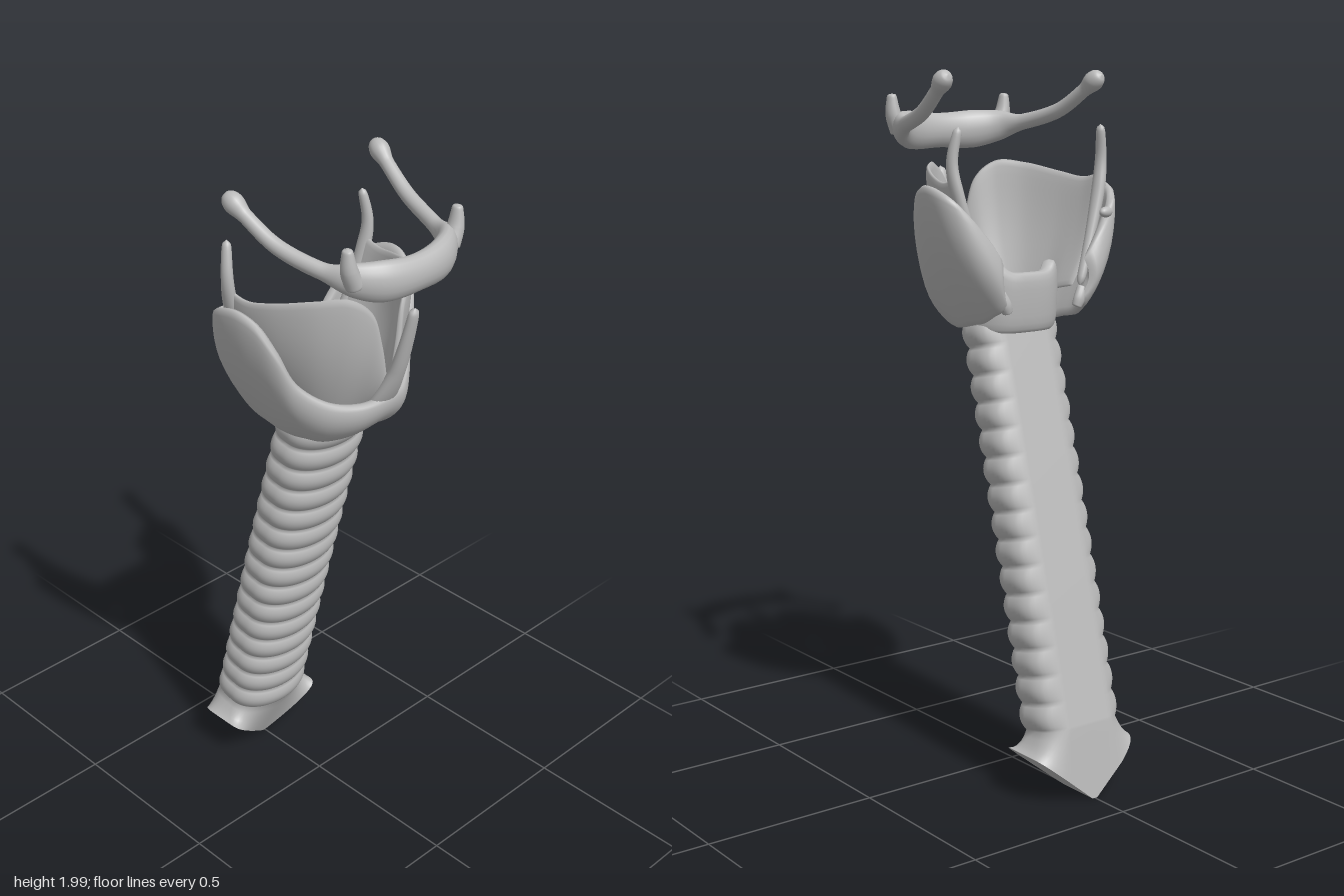
import * as THREE from 'three';

const cartilage = new THREE.MeshStandardMaterial({ color: 0xbababa, side: THREE.DoubleSide });
cartilage.name = 'cartilage grey';
const V = (x, y, z) => new THREE.Vector3(x, y, z);
const { sin, cos, abs, sign, PI, sqrt, pow } = Math;

// Skin a list of closed loops
function loft(name, rows) {
  const n = rows[0].length, idx = [];
  for (let i = 0; i < rows.length - 1; i++) {
    for (let j = 0; j < n; j++) {
      const k = (j + 1) % n, a = i * n + j, b = i * n + k;
      idx.push(a, a + n, b, b, a + n, b + n);
    }
  }
  const g = new THREE.BufferGeometry().setFromPoints(rows.flat());
  g.setIndex(idx);
  g.computeVertexNormals();
  const m = new THREE.Mesh(g, cartilage);
  m.name = name;
  return m;
}

// Left half of a list of points, mirrored into a full arch
const mirror = a => [...a.slice(1).reverse().map(([x, ...r]) => [-x, ...r]), ...a];

// Round-ended rod along points [x, y, z, radiusSide, radiusUp]
function rod(name, pts, ref, n = 44) {
  const path = new THREE.CatmullRomCurve3(pts.map(p => V(p[0], p[1], p[2])));
  const radii = new THREE.CatmullRomCurve3(pts.map(p => V(p[3], p[4], 0)));
  const rows = [];
  for (let i = 0; i <= n; i++) {
    const t = i / n, c = path.getPoint(t), r = radii.getPoint(t), T = path.getTangent(t);
    const side = T.clone().cross(ref).normalize(), up = side.clone().cross(T);
    const k = sqrt(Math.max(0, 1 - pow(abs(2 * t - 1), 22)));
    rows.push(Array.from({ length: 18 }, (_, j) => {
      const a = j / 18 * 2 * PI;
      return c.clone().addScaledVector(side, cos(a) * r.x * k).addScaledVector(up, sin(a) * r.y * k);
    }));
  }
  return loft(name, rows);
}

// Thick curved plate between a top and a bottom edge, with rounded rims
function plate(name, top, bottom, half, bulge, n = 120) {
  const ct = new THREE.CatmullRomCurve3(top.map(p => V(...p)));
  const cb = new THREE.CatmullRomCurve3(bottom.map(p => V(...p)));
  const f = (u, v) => {
    const p = ct.getPoint(u).lerp(cb.getPoint(u), v);
    return p.addScaledVector(V(p.x, 0, p.z).normalize(), bulge * sin(PI * v));
  };
  const rows = [], e = 0.01, cl = x => Math.min(1, Math.max(0, x));
  for (let i = 0; i <= n; i++) {
    const u = i / n, k = sqrt(Math.max(0, 1 - pow(abs(2 * u - 1), 40)));
    rows.push(Array.from({ length: 28 }, (_, j) => {
      const a = j / 28 * 2 * PI, v = 0.5 - 0.5 * cos(a), s = sin(a);
      const du = f(cl(u + e), v).sub(f(cl(u - e), v)), dv = f(u, cl(v + e)).sub(f(u, cl(v - e)));
      const nrm = du.cross(dv).normalize();
      return f(u, v).addScaledVector(nrm, half * k * sign(s) * sqrt(abs(s)));
    }));
  }
  return loft(name, rows);
}

// One horseshoe section of the windpipe: rounded front, flat back, rib fading out on the back
const SEG = 64;
function tubeLoop(y, zc, w, front, back, rib, pf, pb, shape) {
  return Array.from({ length: SEG }, (_, j) => {
    const a = (j + 0.5) / SEG * 2 * PI, c = cos(a);
    const r = rib * Math.min(1, Math.max(0, (c + 0.85) * 3));
    const z = c > 0 ? (front + r) * pow(c, pf) : -back * Math.min(1, pow(-c / 0.8, pb));
    const p = V((w + r) * sin(a), y - 0.2 * z, zc + z);
    return shape ? shape(p) : p;
  });
}

function trachea() {
  const g = new THREE.Group();
  g.name = 'windpipe';
  const rings = 15, steps = 10, N = rings * steps, outer = [], inner = [];
  for (let i = 0; i <= N; i++) {
    const t = i / N, y = 1.31 - 1.12 * t, zc = 0.025 - 0.285 * t - 0.004 * sin(PI * t);
    const rib = pow(abs(sin(PI * rings * t)), 0.8);
    outer.push(tubeLoop(y, zc, 0.129, 0.083 + 0.004 * t, 0.078 + 0.018 * t, 0.014 * rib, 0.9, 0.6));
    inner.push(tubeLoop(y, zc, 0.107, 0.074, 0.062, -0.006 * rib, 1, 0.6));
  }
  // Flared fork at the lower end, cut off in a V
  for (let k = 1; k <= 5; k++) {
    const s = k / 5;
    outer.push(tubeLoop(0.19, -0.26, 0.129 + 0.043 * s, 0.087, 0.096, 0, 0.9 - 0.55 * s, 0.6 - 0.3 * s, p => {
      const q = abs(p.x) / 0.172, d = p.z + 0.26;
      const end = V(p.x, -0.005 + 0.143 * q, -0.31 + 0.06 * q + d * (d > 0 ? 0.6 + 0.35 * q : 0.75 + 0.5 * q));
      return p.lerp(end, s);
    }));
  }
  g.add(loft('ringed wall', outer), loft('inner wall', inner));

  // V-shaped end faces, joining front and back of the last section
  const last = outer[outer.length - 1], pts = [], idx = [];
  for (let j = -SEG / 4; j < SEG / 4; j++) {
    pts.push(last[(j + SEG) % SEG].clone(), last[(SEG / 2 - 1 - j + SEG) % SEG].clone());
  }
  for (let i = 0; i < pts.length - 2; i += 2) idx.push(i, i + 1, i + 2, i + 2, i + 1, i + 3);
  const cap = new THREE.BufferGeometry().setFromPoints(pts);
  cap.setIndex(idx);
  cap.computeVertexNormals();
  const m = new THREE.Mesh(cap, cartilage);
  m.name = 'fork end faces';
  g.add(m);
  return g;
}

// Signet ring: low arch in front, tall broad plate with two peaks behind
function cricoid() {
  const rows = [], n = 80;
  for (let i = 0; i <= n; i++) {
    const a = i / n * 2 * PI, c = cos(a), s = sin(a), b = (1 - c) / 2;
    const top = 1.355 + 0.09 * b * b + 0.05 * Math.exp(-pow((abs(s) - 0.7) / 0.28, 2)) * (c < 0 ? 1 : 0.15);
    const bot = 1.285 - 0.01 * b, mid = (top + bot) / 2, h = (top - bot) / 2;
    rows.push(Array.from({ length: 20 }, (_, j) => {
      const q = j / 20 * 2 * PI, r = sign(cos(q)) * sqrt(abs(cos(q)));
      const k = (0.018 + 0.006 * b) * r, up = sign(sin(q)) * pow(abs(sin(q)), 0.7);
      const zr = c > 0 ? 0.115 : 0.084 + 0.006 * up;
      const px = c > 0 ? 0.85 : 0.85 - 0.2 * b;
      return V((0.12 + k) * sign(s) * pow(abs(s), px), mid + h * up, 0.015 + (zr + k) * c);
    }));
  }
  return loft('signet ring cartilage', rows);
}

function shield() {
  const g = new THREE.Group();
  g.name = 'shield cartilage';
  const top = [[0, 1.44, 0.258], [0.07, 1.425, 0.23], [0.14, 1.435, 0.182], [0.205, 1.49, 0.13], [0.25, 1.59, 0.1],
    [0.278, 1.665, 0.055], [0.293, 1.69, 0], [0.29, 1.675, -0.07], [0.265, 1.645, -0.11], [0.205, 1.57, -0.135],
    [0.14, 1.48, -0.145]];
  const bottom = [[0, 1.325, 0.175], [0.06, 1.305, 0.16], [0.105, 1.29, 0.12], [0.125, 1.29, 0.085], [0.14, 1.29, 0.05],
    [0.15, 1.295, 0.01], [0.155, 1.305, -0.03], [0.155, 1.315, -0.08], [0.148, 1.335, -0.115], [0.138, 1.35, -0.135],
    [0.125, 1.37, -0.14]];
  g.add(plate('outer plate', mirror(top), mirror(bottom), 0.019, 0.022));
  g.add(rod('front spike', [[0, 1.72, 0.345, 0.015, 0.013], [0, 1.62, 0.32, 0.021, 0.016], [0, 1.52, 0.288, 0.026, 0.02],
    [0, 1.43, 0.245, 0.042, 0.022], [0, 1.34, 0.18, 0.055, 0.02]], V(0, 0, 1)));
  // Inner U-shaped sheet: two high leaves joined by a deep notch at the keel
  const rim = [[0, 1.46, 0.262], [0.028, 1.59, 0.262], [0.055, 1.69, 0.25], [0.11, 1.737, 0.222], [0.17, 1.732, 0.162],
    [0.22, 1.71, 0.065], [0.243, 1.697, -0.02], [0.25, 1.715, -0.09]];
  const foot = [[0, 1.37, 0.175], [0.03, 1.355, 0.165], [0.055, 1.345, 0.148], [0.085, 1.34, 0.122], [0.108, 1.345, 0.085],
    [0.122, 1.36, 0.025], [0.125, 1.385, -0.035], [0.135, 1.4, -0.1]];
  g.add(plate('inner leaves', mirror(rim), mirror(foot), 0.011, 0.022));
  for (const s of [1, -1]) {
    const side = a => a.map(([x, ...r]) => [s * x, ...r]);
    g.add(rod('upper horn and back edge', side([[0.15, 1.4, -0.115, 0.012, 0.014], [0.2, 1.53, -0.097, 0.014, 0.016],
      [0.245, 1.67, -0.08, 0.017, 0.022], [0.257, 1.75, -0.075, 0.015, 0.018], [0.245, 1.845, -0.087, 0.012, 0.013]]), V(0, 0, 1)));
    g.add(rod('lower horn', side([[0.145, 1.4, -0.135, 0.017, 0.014], [0.13, 1.37, -0.14, 0.018, 0.015],
      [0.12, 1.345, -0.137, 0.014, 0.014]]), V(0, 0, 1)));
  }
  return g;
}

function hyoid() {
  const g = new THREE.Group();
  g.name = 'tongue bone';
  const half = [[0, 1.822, 0.35, 0.034, 0.05], [0.1, 1.824, 0.335, 0.034, 0.055], [0.172, 1.835, 0.288, 0.027, 0.044],
    [0.203, 1.845, 0.22, 0.02, 0.023], [0.236, 1.88, 0.09, 0.02, 0.021], [0.253, 1.935, 0, 0.019, 0.02],
    [0.26, 1.963, -0.038, 0.027, 0.029], [0.264, 1.98, -0.068, 0.022, 0.024]];
  g.add(rod('arch', mirror(half), V(0, 1, 0), 120));
  for (const s of [1, -1]) {
    g.add(rod('lesser horn', [[s * 0.17, 1.82, 0.3, 0.028, 0.028], [s * 0.192, 1.87, 0.3, 0.022, 0.024],
      [s * 0.198, 1.928, 0.299, 0.012, 0.014]], V(0, 0, 1)));
  }
  return g;
}

export function createModel() {
  const model = new THREE.Group();
  model.name = 'larynx and windpipe';
  model.add(trachea(), cricoid(), shield(), hyoid());
  // Small loose nodule behind one plate
  const nodule = new THREE.Mesh(new THREE.SphereGeometry(1, 20, 14), cartilage);
  nodule.name = 'nodule';
  nodule.scale.set(0.025, 0.015, 0.014);
  nodule.position.set(-0.21, 1.605, -0.155);
  nodule.rotation.y = 0.25;
  model.add(nodule);
  return model;
}
